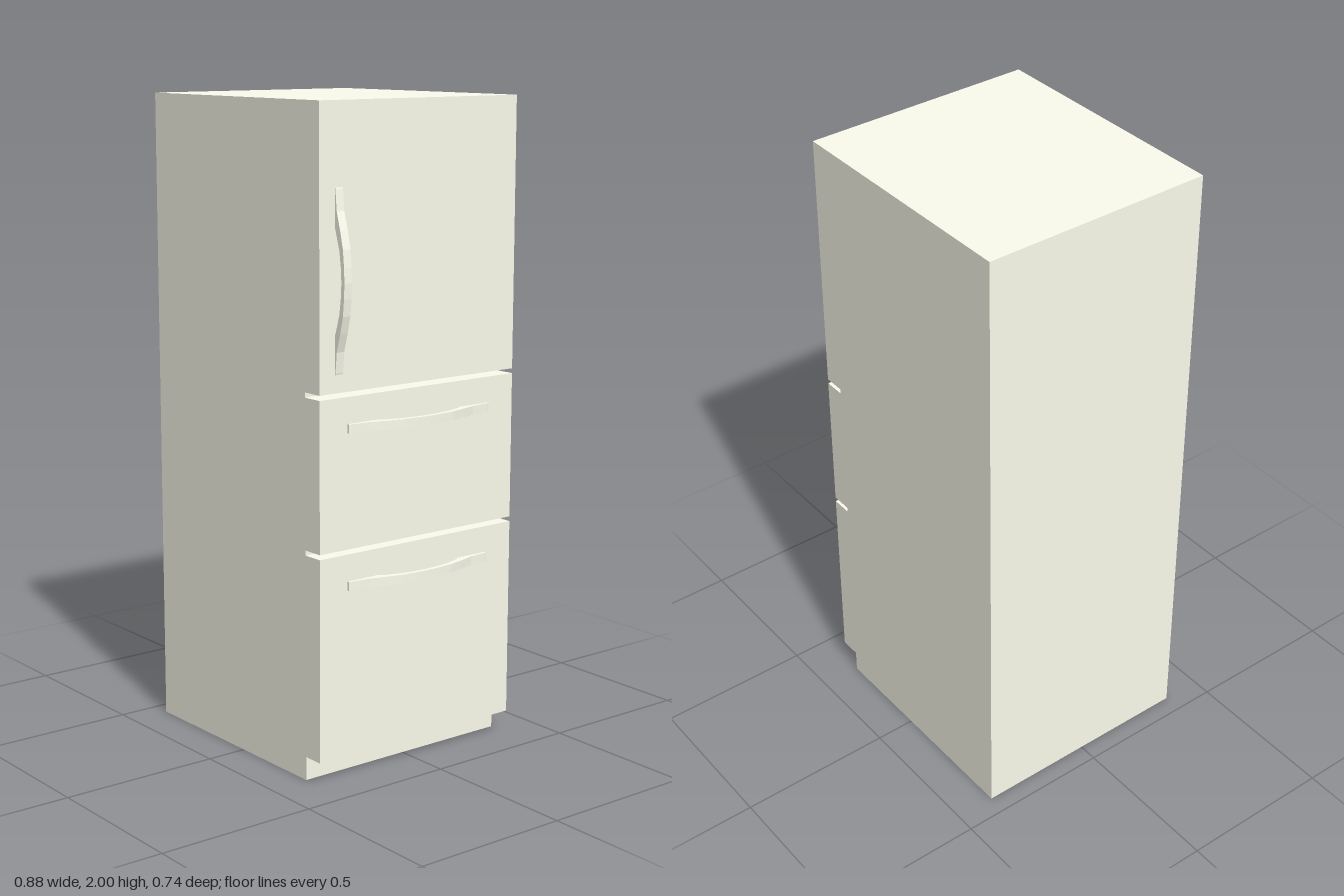
import * as THREE from 'three';

const material = new THREE.MeshStandardMaterial({ color: 0xfdfdee, flatShading: true });
const BACK = -0.438, DOOR = 0.388, RECESS = 0.32, HALF_DEPTH = 0.372, HEIGHT = 2;

// Extrudes an outline of [x, y] points along z, centred on z = 0
function extrude(points, depth) {
  const shape = new THREE.Shape(points.map(([x, y]) => new THREE.Vector2(x, y)));
  const geometry = new THREE.ExtrudeGeometry(shape, { depth, bevelEnabled: false });
  return geometry.translate(0, 0, -depth / 2);
}

function addMesh(parent, name, geometry) {
  const mesh = new THREE.Mesh(geometry, material);
  mesh.name = name;
  parent.add(mesh);
  return mesh;
}

// Bowed grip: half outlines mirrored about y = 0, x measured out from the door
function handleGeometry() {
  const mirror = half => [...half, ...half.slice(0, -1).reverse().map(([x, y]) => [x, -y])];
  const outer = mirror([[0, -0.27], [0.007, -0.27], [0.009, -0.262], [0.015, -0.2], [0.031, -0.145],
    [0.043, -0.095], [0.048, -0.045], [0.05, 0]]);
  const inner = mirror([[0, -0.156], [0.009, -0.148], [0.027, -0.09], [0.034, -0.04], [0.036, 0]]);
  return extrude([...outer, ...inner.reverse()], 0.027);
}

export function createModel() {
  const group = new THREE.Group();
  group.name = 'refrigerator';

  // Cabinet side profile with toe kick and the gaps between doors
  const profile = [[BACK, 0], [RECESS, 0], [RECESS, 0.072], [DOOR, 0.072]];
  for (const [low, high] of [[0.691, 0.706], [1.158, 1.173]]) {
    profile.push([DOOR, low], [RECESS, low], [RECESS, high], [DOOR, high]);
  }
  profile.push([DOOR, HEIGHT], [BACK, HEIGHT]);
  addMesh(group, 'cabinet', extrude(profile, HALF_DEPTH * 2));

  // Upright door handle, its ends sunk slightly into the door
  const grip = handleGeometry();
  addMesh(group, 'doorHandle', grip).position.set(DOOR - 0.008, 1.492, 0.302);

  // Level handles on the two drawers
  const levelGrip = grip.clone().rotateX(Math.PI / 2);
  [['upperDrawerHandle', 1.065], ['lowerDrawerHandle', 0.596]].forEach(([name, y]) => {
    addMesh(group, name, levelGrip).position.set(DOOR, y, 0);
  });

  return group;
}
